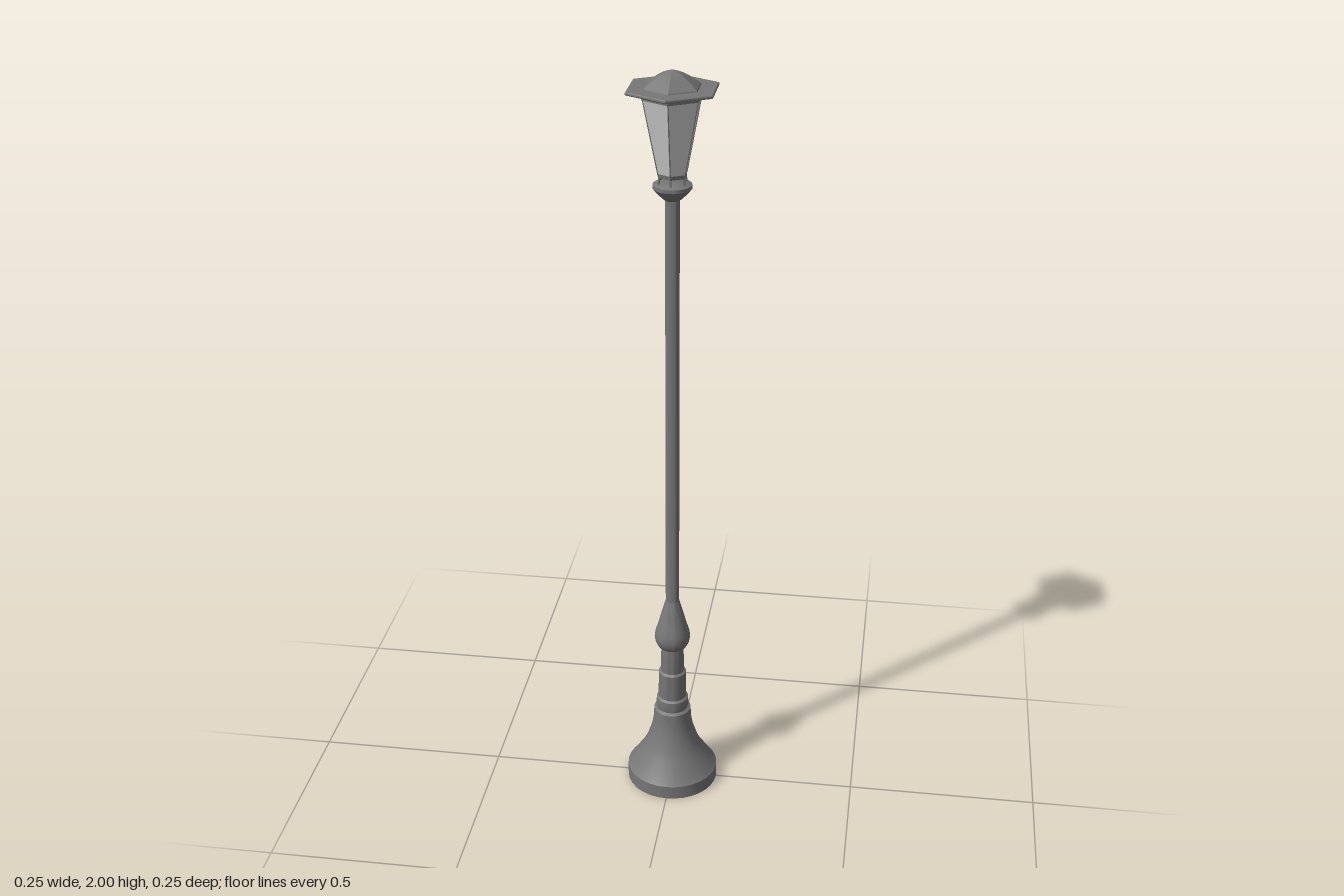
import * as THREE from 'three';
import { toCreasedNormals } from 'three/addons/utils/BufferGeometryUtils.js';

const metal = new THREE.MeshStandardMaterial({ color: 0x777777, side: THREE.DoubleSide });
const glass = new THREE.MeshStandardMaterial({ color: 0xcccccc, side: THREE.DoubleSide });

// Turned part from [radius, y] pairs; six sides give a hexagon with corners on +z and -z
function turned(name, profile, sides = 32, material = metal) {
  const points = profile.map(([r, y]) => new THREE.Vector2(r, y));
  const crease = sides === 6 ? 0.3 : 0.6;
  const geometry = toCreasedNormals(new THREE.LatheGeometry(points, sides), crease);
  const mesh = new THREE.Mesh(geometry, material);
  mesh.name = name;
  return mesh;
}

// Straight round bar between two points
function bar(name, a, b, radius) {
  const dir = b.clone().sub(a);
  const mesh = new THREE.Mesh(new THREE.CylinderGeometry(radius, radius, dir.length(), 8), metal);
  mesh.position.copy(a).add(b).multiplyScalar(0.5);
  mesh.quaternion.setFromUnitVectors(new THREE.Vector3(0, 1, 0), dir.normalize());
  mesh.name = name;
  return mesh;
}

const polar = (angle, r, y) => new THREE.Vector3(Math.sin(angle) * r, y, Math.cos(angle) * r);

export function createModel() {
  const model = new THREE.Group();
  model.name = 'streetLamp';

  // Hollow flared foot, open underneath
  model.add(turned('base', [
    [0.123, 0], [0.123, 0.038], [0.116, 0.046], [0.1, 0.07], [0.084, 0.094], [0.073, 0.115],
    [0.064, 0.14], [0.056, 0.165], [0.052, 0.19], [0.05, 0.222], [0.042, 0.227],
  ]));

  // Stepped collars and bulb
  model.add(turned('collars', [
    [0.042, 0.227], [0.044, 0.236], [0.043, 0.258], [0.037, 0.263], [0.038, 0.272],
    [0.037, 0.34], [0.031, 0.345], [0.032, 0.353], [0.03, 0.418],
  ]));
  model.add(turned('bulb', [
    [0.03, 0.418], [0.038, 0.424], [0.045, 0.437], [0.048, 0.452], [0.046, 0.468],
    [0.039, 0.49], [0.031, 0.52], [0.024, 0.545], [0.018, 0.565],
  ]));

  // Shaft
  model.add(turned('pole', [[0.018, 0.56], [0.018, 1.695]], 24));

  // Cup under the lantern
  model.add(turned('cup', [
    [0.018, 1.685], [0.025, 1.69], [0.035, 1.7], [0.044, 1.71], [0.048, 1.715],
    [0.048, 1.724], [0.042, 1.728], [0, 1.728],
  ]));

  const lantern = new THREE.Group();
  lantern.name = 'lantern';
  model.add(lantern);

  // Six-sided glass with frame rings at both ends
  lantern.add(turned('glass', [[0, 1.752], [0.037, 1.752], [0.077, 1.942]], 6, glass));
  lantern.add(turned('bottomFrame', [
    [0, 1.744], [0.037, 1.744], [0.039, 1.754], [0, 1.754],
  ], 6));
  lantern.add(turned('topFrame', [[0.074, 1.936], [0.078, 1.936], [0.081, 1.953]], 6));

  // Corner bars and the small posts that hold the lantern
  for (let i = 0; i < 6; i++) {
    const angle = (i * Math.PI) / 3;
    lantern.add(bar('cornerBar', polar(angle, 0.037, 1.75), polar(angle, 0.077, 1.945), 0.0015));
    lantern.add(bar('supportPost', polar(angle, 0.037, 1.725), polar(angle, 0.033, 1.748), 0.003));
  }

  // Brim and domed hexagonal cap
  lantern.add(turned('brim', [
    [0, 1.952], [0.117, 1.952], [0.119, 1.954], [0.119, 1.958], [0.117, 1.96], [0.073, 1.96],
  ], 6));
  lantern.add(turned('cap', [
    [0.074, 1.959], [0.072, 1.963], [0.058, 1.973], [0.042, 1.984], [0.028, 1.992],
    [0.015, 1.997], [0.005, 2], [0, 2],
  ], 6));

  return model;
}
